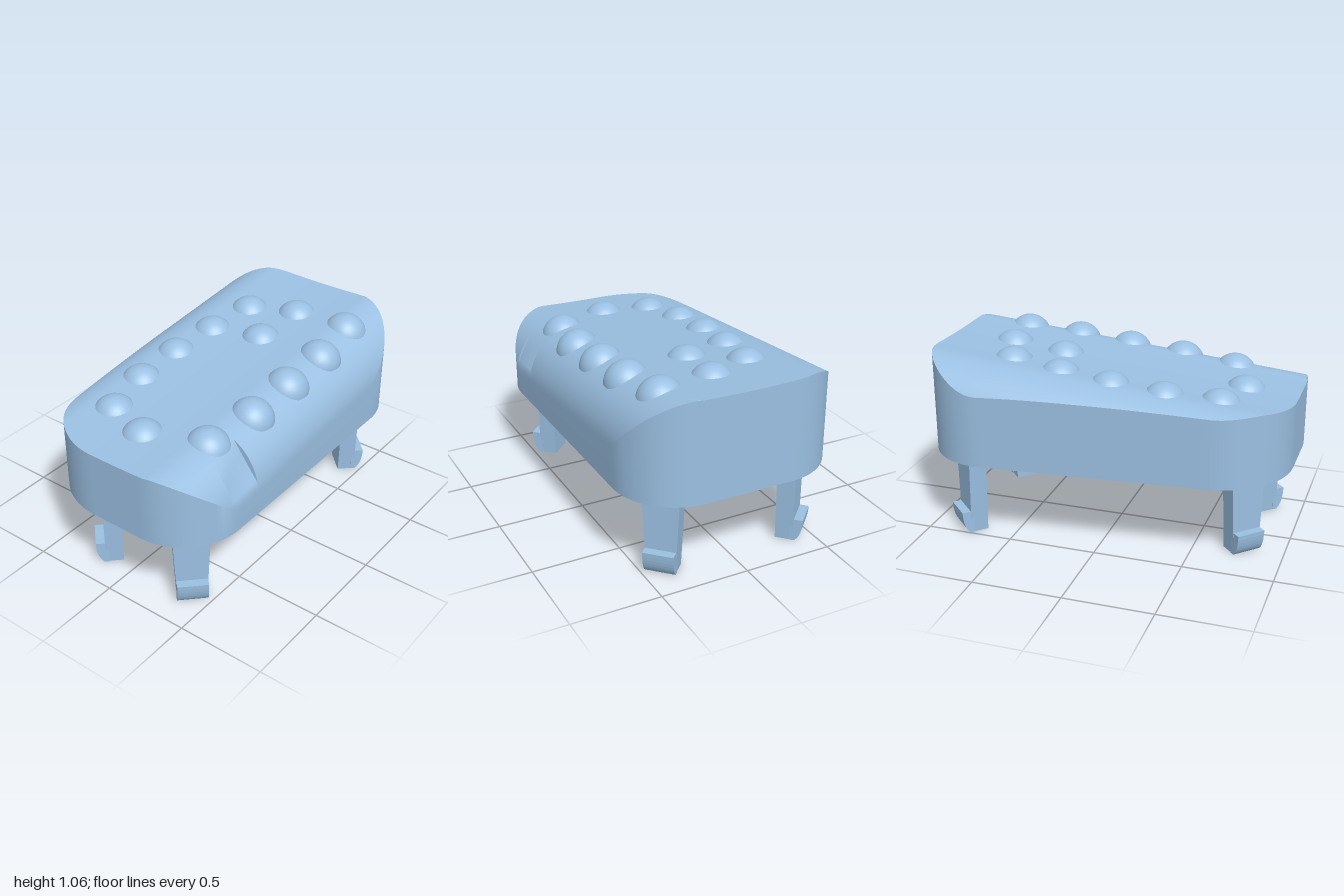
import * as THREE from 'three';
import { toCreasedNormals } from 'three/addons/utils/BufferGeometryUtils.js';

const BASE = 0.47;   // height of the lower rim
const WALL = 0.08;   // shell thickness
const ROLL = 0.3;    // radius of the rolled long edges
const lerp = THREE.MathUtils.lerp;

// Tilted top plane
const plane = (x) => 0.95 + 0.09 * x;

// Top height: tilted, faintly dished, rolled over at front and back
function topHeight(x, z, inset) {
  const r = ROLL - inset;
  const d = z > 0.3 ? z - 0.3 : z < -0.35 ? -0.35 - z : 0;
  const dish = d > 0 ? 0 : 0.008 * (1 - (z / 0.35) ** 2);
  return plane(x) - inset - dish - r + Math.sqrt(Math.max(0, r * r - d * d));
}

// Outer height with the shallow flat notch cut into the front roll
function notchedHeight(x, z) {
  const h = topHeight(x, z, 0);
  if (x < -0.69 || x > -0.48) return h;
  const a = lerp(0.53, 0.44, (x + 0.69) / 0.21), b = 0.594;
  if (z < a || z > b) return h;
  return Math.min(h, lerp(topHeight(x, a, 0), topHeight(x, b, 0), (z - a) / (b - a)));
}

// Footprint edges: rounded corners and a slanted back
const arc = (r, d) => Math.sqrt(Math.max(0, r * r - d * d));
function frontEdge(x, inset) {
  return 0.25 + arc(0.35 - inset, Math.max(0, Math.abs(x) - 0.65));
}
function backEdge(x, inset) {
  const rl = 0.42 - inset, rr = 0.35 - inset;
  const xl = -0.58 - 0.089 * rl, zl = -0.07 - 0.996 * rl;
  const xr = 0.65 - 0.089 * rr, zr = -0.25 - 0.996 * rr;
  if (x < xl) return -0.07 - arc(rl, x + 0.58);
  if (x > xr) return -0.25 - arc(rr, x - 0.65);
  return lerp(zl, zr, (x - xl) / (xr - xl));
}

// Columns along x, close together at the rounded ends
function columns(inset) {
  const xs = [], N = 18, end = 0.37 - inset;
  for (let i = 0; i < N; i++) xs.push(-1 + inset + end * (1 - Math.cos(i / N * Math.PI / 2)));
  for (let i = 0; i <= 24; i++) xs.push(lerp(-0.63, 0.63, i / 24));
  for (let i = N - 1; i >= 0; i--) xs.push(1 - inset - end * (1 - Math.cos(i / N * Math.PI / 2)));
  // crisp sides for the notch
  xs.push(-0.6905, -0.6895, -0.4805, -0.4795);
  return xs.sort((a, b) => a - b);
}

// Grid of points over the footprint
function surfaceGrid(inset, height) {
  const ROWS = 44;
  return columns(inset).map((x) => {
    const zb = backEdge(x, inset), zf = frontEdge(x, inset), col = [];
    for (let j = 0; j <= ROWS; j++) {
      const z = lerp(zb, zf, (1 - Math.cos(Math.PI * j / ROWS)) / 2);
      col.push([x, height(x, z), z]);
    }
    return col;
  });
}

// Closed boundary of a grid: front, right, back, left
function boundary(g) {
  const m = g.length - 1, n = g[0].length - 1, loop = [];
  for (let i = 0; i < m; i++) loop.push(g[i][n]);
  for (let j = n; j > 0; j--) loop.push(g[m][j]);
  for (let i = m; i > 0; i--) loop.push(g[i][0]);
  for (let j = 0; j < n; j++) loop.push(g[0][j]);
  return loop;
}

function shellGeometry() {
  const pos = [];
  const quad = (a, b, c, d, flip) => {
    if (flip) pos.push(...a, ...c, ...b, ...a, ...d, ...c);
    else pos.push(...a, ...b, ...c, ...a, ...c, ...d);
  };
  const down = (p) => [p[0], BASE, p[2]];
  const outer = surfaceGrid(0, notchedHeight);
  const inner = surfaceGrid(WALL, (x, z) => topHeight(x, z, WALL));
  // top skin, cavity ceiling and their walls
  [[outer, false], [inner, true]].forEach(([g, flip]) => {
    for (let i = 0; i < g.length - 1; i++)
      for (let j = 0; j < g[0].length - 1; j++)
        quad(g[i][j], g[i][j + 1], g[i + 1][j + 1], g[i + 1][j], flip);
    const loop = boundary(g);
    loop.forEach((p, k) => {
      const q = loop[(k + 1) % loop.length];
      quad(p, down(p), down(q), q, flip);
    });
  });
  // lower rim
  const lo = boundary(outer), li = boundary(inner);
  lo.forEach((p, k) => {
    const n = (k + 1) % lo.length;
    quad(down(p), down(li[k]), down(li[n]), down(lo[n]), false);
  });
  const geo = new THREE.BufferGeometry();
  geo.setAttribute('position', new THREE.Float32BufferAttribute(pos, 3));
  return toCreasedNormals(geo, 0.45);
}

// Tapered snap leg with a rounded outward hook; local +z points outward
function makeLeg(material) {
  const leg = new THREE.Group();
  const blade = new THREE.Shape();
  blade.moveTo(-0.08, 0);
  blade.lineTo(0.08, 0);
  blade.lineTo(0.118, 0.78);
  blade.lineTo(-0.118, 0.78);
  const bladeGeo = new THREE.ExtrudeGeometry(blade, { depth: 0.1, bevelEnabled: false });
  bladeGeo.translate(0, 0, -0.05);
  const bladeMesh = new THREE.Mesh(bladeGeo, material);
  bladeMesh.name = 'legBlade';

  const hook = new THREE.Shape();
  hook.moveTo(0.03, 0);
  hook.lineTo(0.055, 0);
  hook.quadraticCurveTo(0.097, 0.03, 0.1, 0.13);
  hook.lineTo(0.03, 0.13);
  const hookGeo = new THREE.ExtrudeGeometry(hook, { depth: 0.168, bevelEnabled: false, curveSegments: 8 });
  hookGeo.translate(0, 0, -0.084);
  hookGeo.rotateY(-Math.PI / 2);
  const hookMesh = new THREE.Mesh(hookGeo, material);
  hookMesh.name = 'legHook';
  leg.add(bladeMesh, hookMesh);
  return leg;
}

export function createModel() {
  const model = new THREE.Group();
  model.name = 'buttonCap';
  const blue = new THREE.MeshStandardMaterial({ color: 0x9bc0e2 });
  blue.name = 'lightBlue';

  const shell = new THREE.Mesh(shellGeometry(), blue);
  shell.name = 'shell';
  model.add(shell);

  // Grip domes on the top
  const domes = new THREE.Group();
  domes.name = 'gripDomes';
  const domeGeo = new THREE.SphereGeometry(0.125, 32, 12, 0, Math.PI * 2, 0, Math.PI / 2);
  [[-0.62, -0.24], [-0.33, -0.3], [-0.03, -0.3], [0.265, -0.27], [0.56, -0.22],
    [-0.7, 0.025], [0.345, 0.015], [0.665, 0.045],
    [-0.57, 0.345], [-0.25, 0.385], [0.07, 0.385], [0.385, 0.385], [0.7, 0.355]].forEach(([x, z]) => {
    const dome = new THREE.Mesh(domeGeo, blue);
    dome.name = 'gripDome';
    dome.position.set(x, plane(x) - 0.08, z);
    domes.add(dome);
  });
  model.add(domes);

  // Plunger post under the ceiling
  const post = new THREE.Mesh(new THREE.CylinderGeometry(0.2, 0.2, 0.39, 48), blue);
  post.name = 'centerPost';
  post.position.set(0, 0.715, 0);
  model.add(post);

  // Four legs facing the corners
  [['frontLeftLeg', 0.765, 0.37], ['frontRightLeg', -0.755, 0.37],
    ['backLeftLeg', 0.765, -0.395], ['backRightLeg', -0.755, -0.185]].forEach(([name, x, z]) => {
    const leg = makeLeg(blue);
    leg.name = name;
    leg.position.set(x, 0, z);
    leg.rotation.y = Math.atan2(Math.sign(x), Math.sign(z));
    model.add(leg);
  });

  return model;
}
